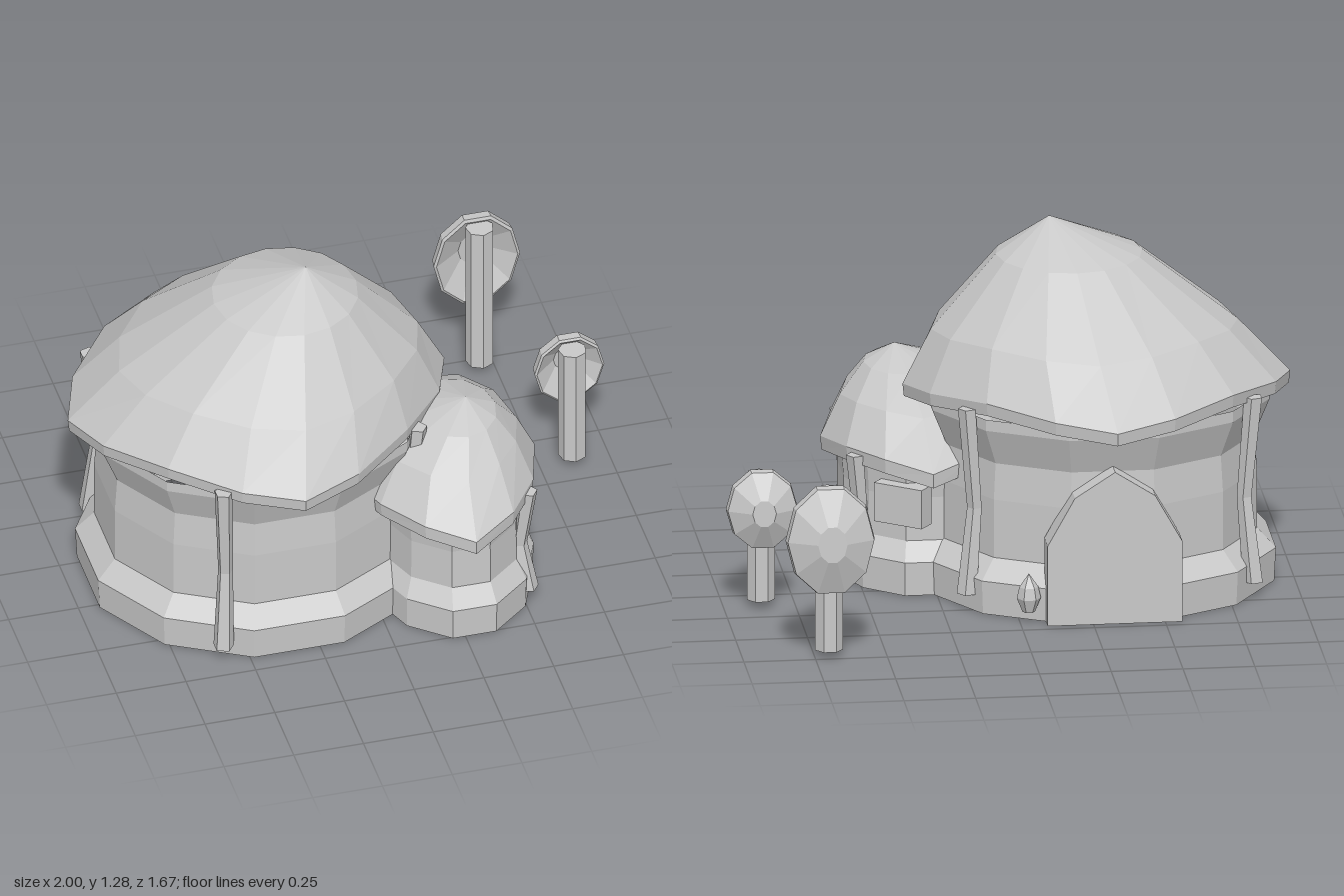
import * as THREE from 'three';

const clay = new THREE.MeshStandardMaterial({ color: 0xc8c8c8, flatShading: true, side: THREE.DoubleSide });
clay.name = 'grey clay';

// Skin a stack of equal-length point rings, listed so that they climb the outside surface.
function loft(rings) {
  const pos = [];
  const tri = (a, b, c) => {
    const n = b.clone().sub(a).cross(c.clone().sub(a));
    if (n.length() > 1e-9) for (const p of [a, b, c]) pos.push(p.x, p.y, p.z);
  };
  for (let i = 0; i < rings.length - 1; i++) {
    const lo = rings[i], hi = rings[i + 1], n = lo.length;
    for (let k = 0; k < n; k++) {
      const m = (k + 1) % n;
      tri(lo[k], hi[k], lo[m]);
      tri(lo[m], hi[k], hi[m]);
    }
  }
  const g = new THREE.BufferGeometry();
  g.setAttribute('position', new THREE.Float32BufferAttribute(pos, 3));
  g.computeVertexNormals();
  return g;
}

// Elliptical ring; shape(k) gives [angle shift, radius factor, lift] for each corner.
function ring(n, cx, y, cz, rx, rz, shape = () => [0, 1, 0], amount = 1) {
  return Array.from({ length: n }, (_, k) => {
    const [shift, f, lift] = shape(k);
    const a = (k / n) * Math.PI * 2 + shift * amount;
    const s = 1 + (f - 1) * amount;
    return new THREE.Vector3(cx + rx * s * Math.cos(a), y + lift * amount, cz + rz * s * Math.sin(a));
  });
}

function add(parent, name, geometry) {
  const m = new THREE.Mesh(geometry, clay);
  m.name = name;
  parent.add(m);
  return m;
}

// Open twelve-sided wall from a [scale, height] profile, flats facing the axes
function wall(parent, name, cx, cz, rx, rz, profile) {
  const turned = () => [Math.PI / 12, 1, 0];
  add(parent, name, loft(profile.map(([s, y]) => ring(12, cx, y, cz, rx * s, rz * s, turned))));
}

// Crooked post that bends in towards the wall halfway up
function post(parent, x, z, cx, cz, top) {
  const d = new THREE.Vector2(x - cx, z - cz).normalize();
  const levels = [[0, 0.06, 0.005], [0.037, 0.06, 0.005], [0.027, top * 0.5, -0.03],
    [0.033, top, 0.005], [0, top, 0.005]];
  add(parent, 'post', loft(levels.map(([r, y, out]) =>
    ring(5, x + d.x * out, y, z + d.y * out, r, r))));
}

// Dish standing upright behind a trunk
function dishTree(parent, x, z, trunkTop, dishY, rx, ry) {
  const tree = new THREE.Group();
  tree.name = 'dishTree';
  const h = trunkTop - 0.025;
  const trunk = add(tree, 'trunk', new THREE.CylinderGeometry(0.05, 0.05, h, 7));
  trunk.position.set(x, 0.025 + h / 2, z);
  const profile = [[0, 0.065], [0.33, 0.065], [0.94, 0], [1, 0.005], [0.97, 0.04], [0.33, 0.095], [0, 0.095]];
  const dish = add(tree, 'dish', loft(profile.map(([s, d]) => ring(10, 0, d, 0, rx * s, ry * s))));
  dish.rotation.x = -Math.PI / 2 + 0.06;
  dish.position.set(x, dishY, z - 0.033);
  parent.add(tree);
}

export function createModel() {
  const model = new THREE.Group();
  model.name = 'roundHuts';

  // Main hut
  const main = new THREE.Group();
  main.name = 'mainHut';
  const mx = -0.325, mz = 0.115;
  wall(main, 'mainWall', mx, mz, 0.63, 0.59,
    [[0.99, 0], [1, 0.12], [0.895, 0.19], [0.895, 0.4], [0.88, 0.53], [0.965, 0.66], [0.965, 0.7]]);
  const wavy = (k) => [[0, 1, 0], [-0.06, 0.945, 0.025], [0, 0.9, 0.05], [0.06, 0.945, 0.025]][k % 4];
  add(main, 'mainRoof', loft([
    ring(16, mx, 0.69, mz, 0.54, 0.51, wavy, 0.3),
    ring(16, mx, 0.67, 0.11, 0.67, 0.655, wavy),
    ring(16, mx, 0.715, 0.11, 0.675, 0.66, wavy),
    ring(16, -0.285, 0.905, 0.125, 0.535, 0.495, wavy, 0.5),
    ring(16, -0.235, 1.158, 0.16, 0.255, 0.255),
    ring(16, -0.17, 1.28, 0.195, 0, 0),
  ]));
  for (const [x, z] of [[-0.83, -0.22], [0.16, -0.24], [0.15, 0.48], [-0.59, 0.66]])
    post(main, x, z, mx, mz, 0.73);

  // Pointed door slab on the back
  const outline = [[-0.235, 0], [0.235, 0], [0.235, 0.29], [0.14, 0.46], [0, 0.55], [-0.14, 0.46], [-0.235, 0.29]];
  const door = add(main, 'door', new THREE.ExtrudeGeometry(
    new THREE.Shape(outline.map(([x, y]) => new THREE.Vector2(x, y))), { depth: 0.1, bevelEnabled: false }));
  door.position.set(mx, 0, -0.465);

  // Faceted lantern beside the door
  add(main, 'lantern', loft([[0, 0.04], [0.022, 0.04], [0.042, 0.09], [0.033, 0.13], [0, 0.178]]
    .map(([r, y]) => ring(6, -0.03, y, -0.415, r, r))));
  model.add(main);

  // Side hut
  const side = new THREE.Group();
  side.name = 'sideHut';
  const sx = 0.27, sz = 0.345;
  wall(side, 'sideWall', 0.283, sz, 0.303, 0.43,
    [[0.99, 0], [1, 0.12], [0.88, 0.185], [0.875, 0.34], [0.9, 0.43], [0.92, 0.47]]);
  const ripple = (k) => (k % 3 ? [0, 0.93, 0.03] : [0, 1, 0]);
  add(side, 'sideRoof', loft([
    ring(12, sx, 0.44, sz, 0.25, 0.36),
    ring(12, sx, 0.41, sz, 0.335, 0.485, ripple),
    ring(12, sx, 0.46, sz, 0.34, 0.485, ripple),
    ring(12, 0.285, 0.605, 0.36, 0.255, 0.315, ripple, 0.5),
    ring(12, 0.315, 0.71, 0.39, 0.14, 0.17),
    ring(12, 0.345, 0.77, 0.41, 0, 0),
  ]));
  for (const [x, z] of [[0.515, 0.075], [0.51, 0.61]]) post(side, x, z, sx, sz, 0.475);

  // Window box on the back of the side hut
  const box = add(side, 'windowBox', new THREE.BoxGeometry(0.19, 0.14, 0.07));
  box.position.set(0.365, 0.325, -0.03);
  box.rotation.y = -0.64;
  model.add(side);

  dishTree(model, 0.7, -0.71, 0.605, 0.435, 0.155, 0.2);
  dishTree(model, 0.87, -0.115, 0.48, 0.365, 0.125, 0.145);
  return model;
}
